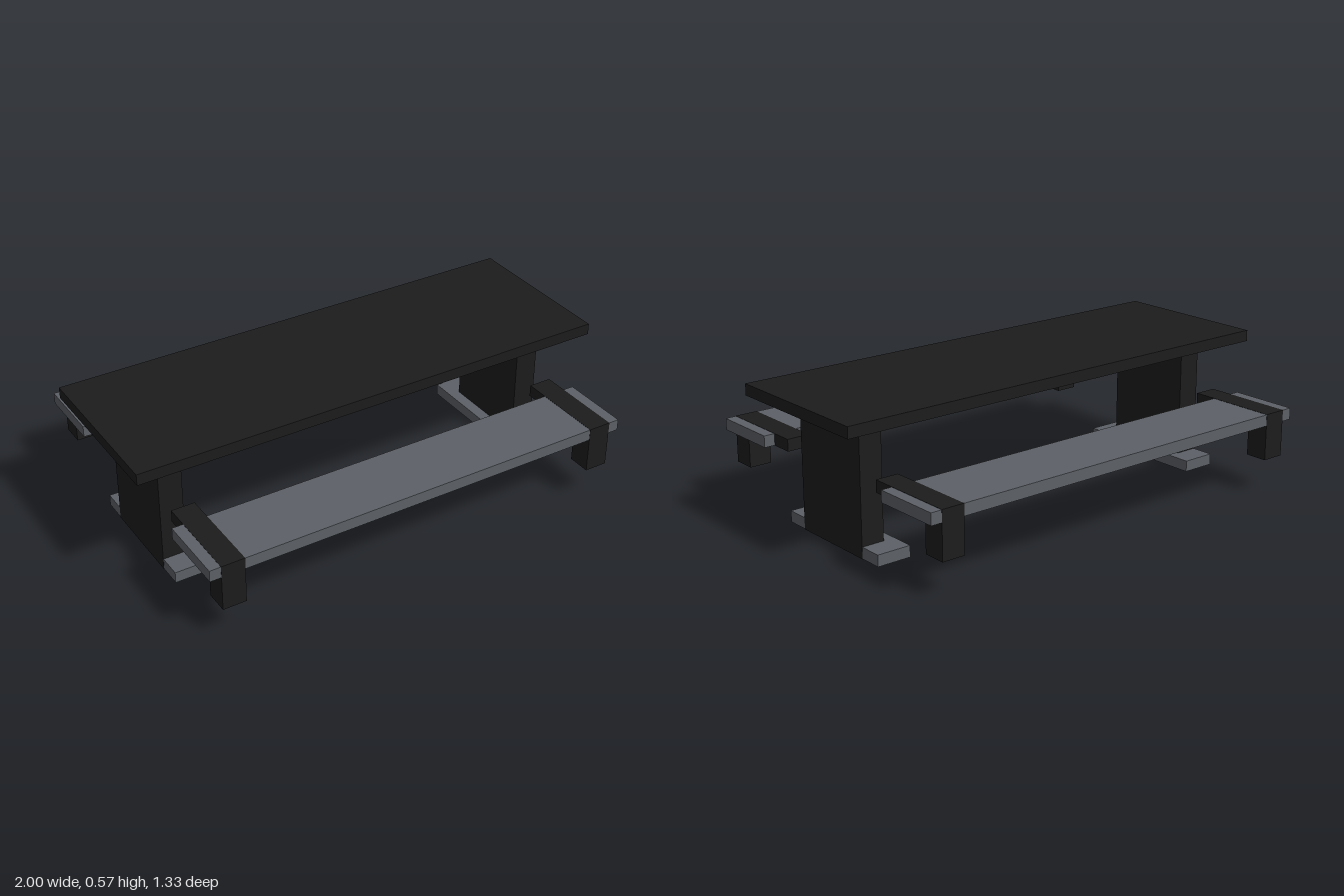
import * as THREE from 'three';

export function createModel() {
  const charcoal = new THREE.MeshStandardMaterial({ color: 0x1c1c1c });
  charcoal.name = 'charcoal';
  const slate = new THREE.MeshStandardMaterial({ color: 0x5c6066 });
  slate.name = 'slate grey';

  const table = new THREE.Group();
  table.name = 'picnicTable';

  // Box between two opposite corners
  function box(name, material, [x0, y0, z0], [x1, y1, z1]) {
    const geometry = new THREE.BoxGeometry(Math.abs(x1 - x0), y1 - y0, Math.abs(z1 - z0));
    const mesh = new THREE.Mesh(geometry, material);
    mesh.name = name;
    mesh.position.set((x0 + x1) / 2, (y0 + y1) / 2, (z0 + z1) / 2);
    table.add(mesh);
  }

  // Table top with a grey panel underneath, between the legs
  box('tableTop', charcoal, [-1, 0.525, -0.333], [1, 0.571, 0.333]);
  box('undersidePanel', slate, [-0.86, 0.523, -0.325], [0.86, 0.526, 0.325]);

  for (const [sx, side] of [[1, 'left'], [-1, 'right']]) {
    // Slab leg, showing through the outer face and sole of its foot
    box(side + 'Leg', charcoal, [sx * 0.762, 0, -0.19], [sx * 0.858, 0.525, 0.19]);
    box(side + 'Foot', slate, [sx * 0.714, 0.001, -0.286], [sx * 0.857, 0.047, 0.286]);
  }

  for (const [sz, end] of [[1, 'front'], [-1, 'back']]) {
    box(end + 'Bench', slate, [-0.902, 0.286, sz * 0.381], [0.902, 0.333, sz * 0.666]);
    for (const [sx, side] of [[1, 'Left'], [-1, 'Right']]) {
      // Bracket wrapping the bench, and the short leg below it
      box(end + side + 'BenchArm', charcoal,
        [sx * 0.762, 0.285, sz * 0.287], [sx * 0.857, 0.334, sz * 0.667]);
      box(end + side + 'BenchLeg', charcoal,
        [sx * 0.762, 0.143, sz * 0.573], [sx * 0.857, 0.286, sz * 0.667]);
    }
  }

  return table;
}
